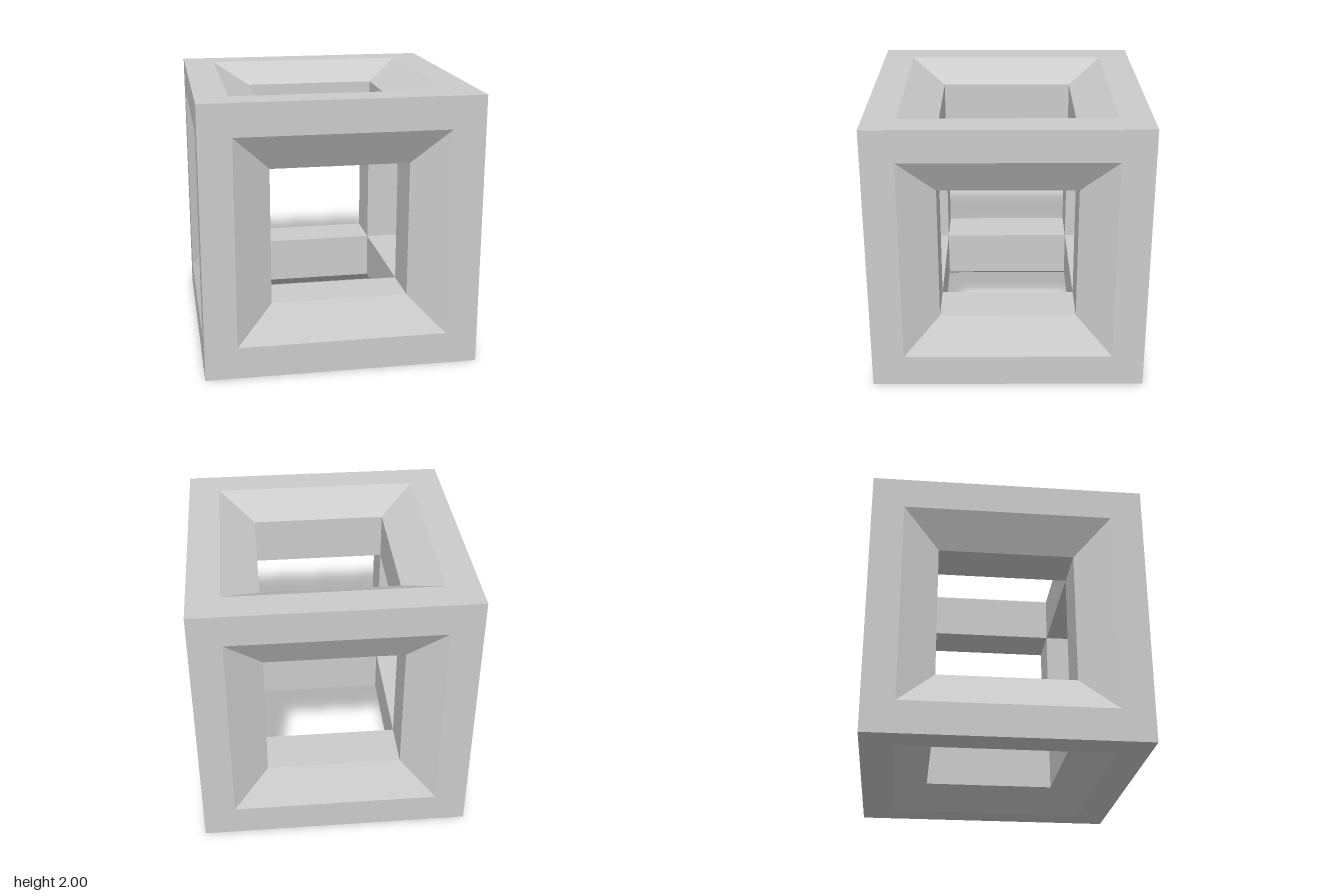
import * as THREE from 'three';

// Half-widths of the cube, the bevelled mouth and the square tunnel
const OUTER = 1, MOUTH = 0.764, HOLE = 0.5, BEVEL_END = 0.85;

// One side of the cube frame, facing +y: flat rim, sloped bevel, tunnel wall.
// A four-sided lathe gives the square rings.
function sideGeometry() {
  const profile = [[OUTER, OUTER], [MOUTH, OUTER], [HOLE, BEVEL_END], [HOLE, HOLE]]
    .map(([half, y]) => new THREE.Vector2(half * Math.SQRT2, y));
  const geometry = new THREE.LatheGeometry(profile, 4, Math.PI / 4).toNonIndexed();
  geometry.computeVertexNormals();
  return geometry;
}

export function createModel() {
  const model = new THREE.Group();
  model.name = 'cubeFrame';
  const geometry = sideGeometry();
  const material = new THREE.MeshStandardMaterial({ color: 0xcccccc, flatShading: true });

  // The six sides meet along the outer cube edges and the inner tunnel corners
  const sides = [
    ['topSide', 0, 0],
    ['bottomSide', Math.PI, 0],
    ['frontSide', Math.PI / 2, 0],
    ['backSide', -Math.PI / 2, 0],
    ['leftSide', 0, -Math.PI / 2],
    ['rightSide', 0, Math.PI / 2],
  ];
  for (const [name, turnX, turnZ] of sides) {
    const side = new THREE.Mesh(geometry, material);
    side.name = name;
    side.rotation.set(turnX, 0, turnZ);
    side.position.y = OUTER;
    model.add(side);
  }
  return model;
}
